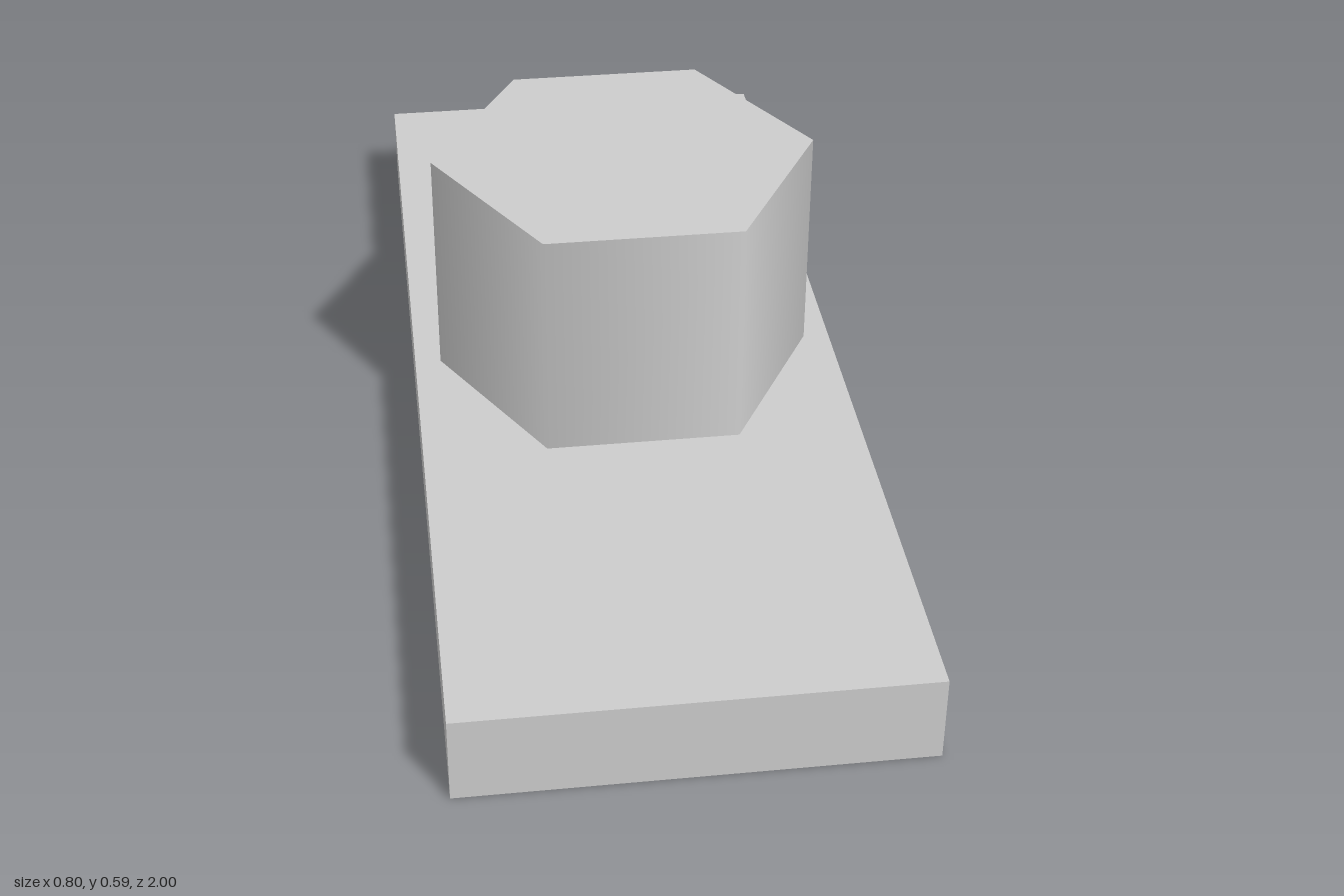
import * as THREE from 'three';

export function createModel() {
  const model = new THREE.Group();
  const grey = new THREE.MeshStandardMaterial({ color: 0xcccccc });
  grey.name = 'light grey';

  const baseHeight = 0.16;
  const bossHeight = 0.434;

  // Flat rectangular base, long along z
  const basePlate = new THREE.Mesh(new THREE.BoxGeometry(0.8, baseHeight, 2), grey);
  basePlate.name = 'basePlate';
  basePlate.position.y = baseHeight / 2;

  // Six-sided boss with smooth side normals and corners on the x axis
  const hexBoss = new THREE.Mesh(
    new THREE.CylinderGeometry(0.352, 0.352, bossHeight, 6, 1, false, Math.PI / 2),
    grey
  );
  hexBoss.name = 'hexBoss';
  hexBoss.position.y = baseHeight + bossHeight / 2;

  model.add(basePlate, hexBoss);
  return model;
}
